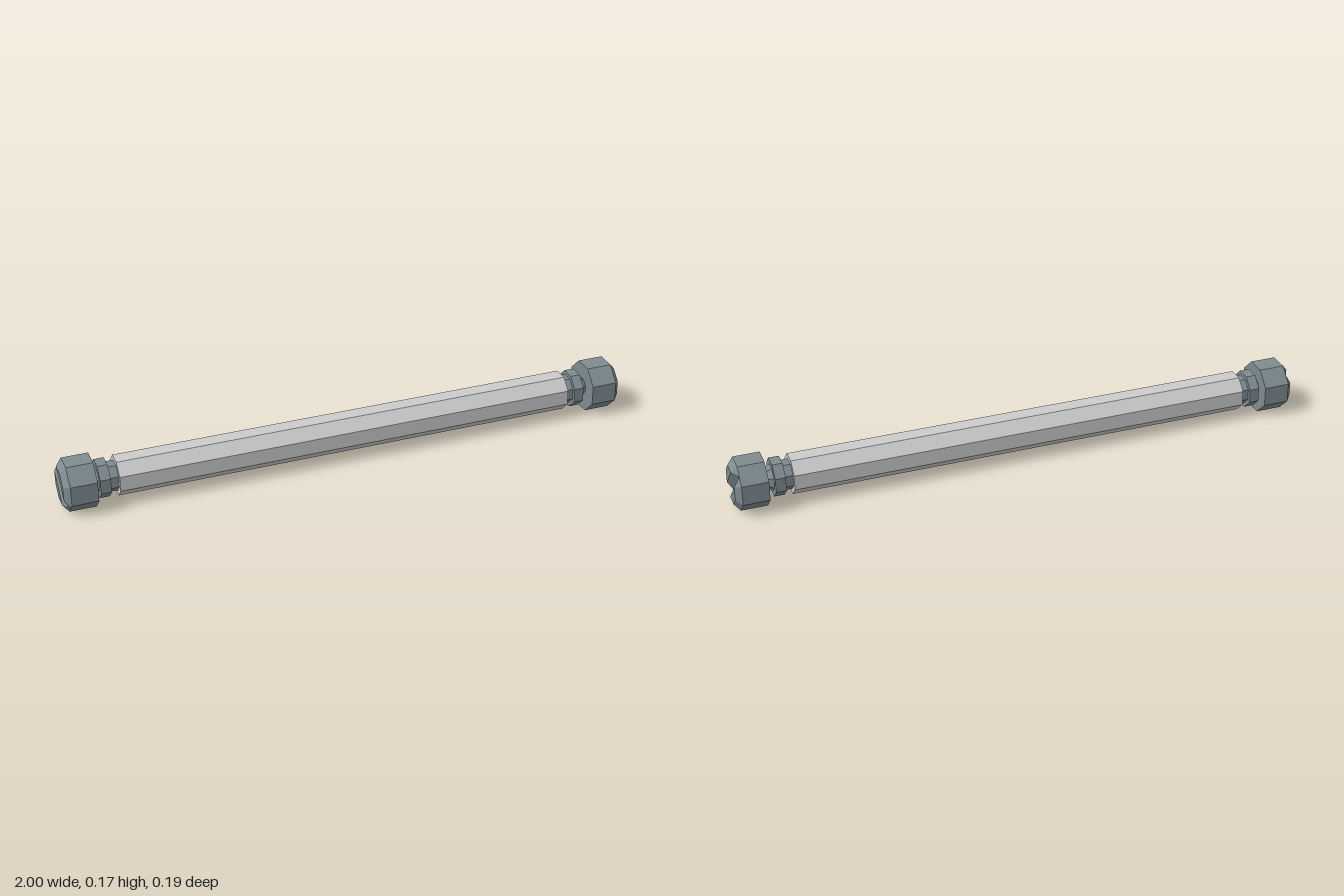
import * as THREE from 'three';

const STEEL = new THREE.MeshStandardMaterial({ color: 0x7e8b90, flatShading: true });
const GREY = new THREE.MeshStandardMaterial({ color: 0xcccccc, flatShading: true });
const FLAT = 1 / Math.cos(Math.PI / 8); // apothem to corner radius

// Octagonal section along x; r0 and r1 are the apothems at x0 and x1.
function octagon(name, x0, x1, r0, r1, material) {
  const geometry = new THREE.CylinderGeometry(r1 * FLAT, r0 * FLAT, x1 - x0, 8);
  geometry.rotateY(Math.PI / 8).rotateZ(-Math.PI / 2).translate((x0 + x1) / 2, 0, 0);
  const mesh = new THREE.Mesh(geometry, material);
  mesh.name = name;
  return mesh;
}

// Eight corners of an octagon facing +x, anticlockwise seen from +x.
function ring(x, apothem) {
  return Array.from({ length: 8 }, (_, k) => {
    const a = (k + 0.5) * Math.PI / 4;
    return new THREE.Vector3(x, apothem * FLAT * Math.sin(a), -apothem * FLAT * Math.cos(a));
  });
}

// Octagonal head with a bevelled face and a diagonal V slot.
function slottedHead() {
  const back = ring(0.89, 0.083), rim = ring(0.98, 0.083), face = ring(1, 0.06);
  const slotStart = rim[0].clone().lerp(rim[1], 0.5);
  const slotEnd = rim[4].clone().lerp(rim[5], 0.5);
  const points = [];
  const polygon = (...p) => {
    for (let i = 1; i < p.length - 1; i++) points.push(p[0], p[i], p[i + 1]);
  };
  for (let k = 0; k < 8; k++) {
    const n = (k + 1) % 8;
    polygon(back[k], back[n], rim[n], rim[k]);
    if (k % 4 === 0) {
      // Bevel split by the end of the slot
      const middle = k === 0 ? slotStart : slotEnd;
      polygon(rim[k], middle, face[k]);
      polygon(middle, rim[n], face[n]);
    } else {
      polygon(rim[k], rim[n], face[n], face[k]);
    }
  }
  polygon(...back.slice().reverse());
  // Two halves of the face and the slot walls between them
  polygon(face[1], face[2], face[3], face[4]);
  polygon(face[5], face[6], face[7], face[0]);
  polygon(slotStart, face[1], face[4], slotEnd);
  polygon(slotEnd, face[5], face[0], slotStart);

  const geometry = new THREE.BufferGeometry().setFromPoints(points);
  geometry.computeVertexNormals();
  const mesh = new THREE.Mesh(geometry, STEEL);
  mesh.name = 'slottedHead';
  return mesh;
}

// Head, tapered neck and collar of one end
function endFitting(name, side, shift) {
  const end = new THREE.Group();
  end.name = name;
  end.add(slottedHead());
  const neck = new THREE.Group();
  neck.name = 'neckAssembly';
  neck.add(
    octagon('neckBase', 0.795, 0.83, 0.047, 0.047, STEEL),
    octagon('collar', 0.83, 0.865, 0.06, 0.06, STEEL),
    octagon('neckTaper', 0.865, 0.9, 0.042, 0.022, STEEL)
  );
  neck.position.x = shift;
  end.add(neck);
  end.scale.x = side;
  return end;
}

export function createModel() {
  const model = new THREE.Group();
  model.name = 'rod';
  model.add(
    octagon('shaft', -0.813, 0.803, 0.063, 0.063, GREY),
    endFitting('leftEnd', 1, 0),
    endFitting('rightEnd', -1, 0.012)
  );
  // The rod lies slightly askew
  model.position.y = 0.086;
  model.rotation.set(0, -0.0135, 0.002);
  const group = new THREE.Group();
  group.add(model);
  return group;
}
